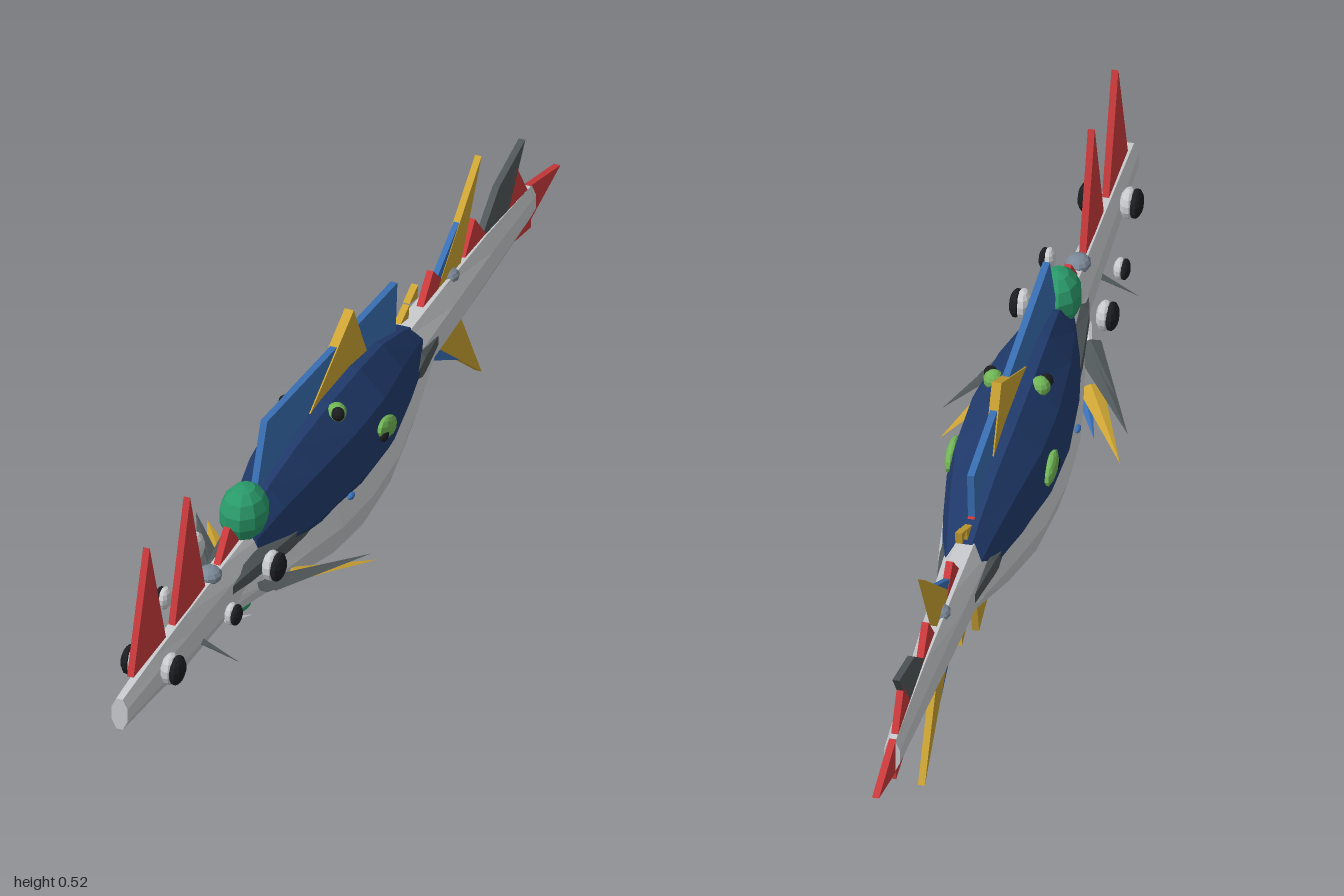
import * as THREE from 'three';

const mat = (name, color) => Object.assign(new THREE.MeshStandardMaterial({ color, flatShading: true }), { name });
const M = {
  pale: mat('pale grey', 0xc9cbce),
  navy: mat('navy', 0x203a6b),
  blue: mat('fin blue', 0x3a70b5),
  gold: mat('gold', 0xcda434),
  red: mat('red', 0xcc3a3c),
  dark: mat('dark grey', 0x505759),
  teal: mat('sea green', 0x2a9a6a),
  green: mat('leaf green', 0x70b455),
  black: mat('black', 0x1c1d20),
  slate: mat('slate', 0x7b8896),
};

// Hull through rings [z, centreY, radiusX, radiusY], listed front to back
function loft(rings, n, floor = -1) {
  const pos = [], idx = [];
  for (const [z, cy, rx, ry] of rings) {
    for (let i = 0; i < n; i++) {
      const a = ((i + 0.5) / n) * Math.PI * 2;
      pos.push(Math.sin(a) * rx, Math.max(floor, cy - Math.cos(a) * ry), z);
    }
  }
  const last = (rings.length - 1) * n;
  for (let k = 0; k < last; k += n) {
    for (let i = 0; i < n; i++) {
      const j = (i + 1) % n;
      idx.push(k + i, k + n + i, k + j, k + j, k + n + i, k + n + j);
    }
  }
  for (let i = 1; i < n - 1; i++) idx.push(0, i, i + 1, last, last + i + 1, last + i);
  const g = new THREE.BufferGeometry();
  g.setAttribute('position', new THREE.Float32BufferAttribute(pos, 3));
  g.setIndex(idx);
  g.computeVertexNormals();
  return g;
}

export function createModel() {
  const model = new THREE.Group();
  const add = (name, geometry, material) => {
    const m = new THREE.Mesh(geometry, material);
    m.name = name;
    model.add(m);
    return m;
  };

  // Upright plate on the centre line, outlined by [z, y] points
  const fin = (name, points, material, t = 0.013) => {
    const shape = new THREE.Shape(points.map(([z, y]) => new THREE.Vector2(z, y)));
    const g = new THREE.ExtrudeGeometry(shape, { depth: t, bevelEnabled: false });
    add(name, g.rotateY(-Math.PI / 2).translate(t / 2, 0, 0), material);
  };

  // Ellipsoid
  const blob = (name, [x, y, z], [rx, ry, rz], material, tilt = 0) => {
    const m = add(name, new THREE.SphereGeometry(1, 10, 7), material);
    m.scale.set(rx, ry, rz);
    m.position.set(x, y, z);
    m.rotation.x = tilt;
  };

  // Flattened four-sided spike from base to tip
  const spike = (name, base, tip, width, thick, material) => {
    const b = new THREE.Vector3(...base), t = new THREE.Vector3(...tip);
    const dir = t.clone().sub(b), len = dir.length();
    dir.normalize();
    const side = new THREE.Vector3(0, 1, 0).cross(dir).normalize();
    const up = side.clone().cross(dir);
    const g = new THREE.ConeGeometry(1, len, 4).scale(width, 1, thick);
    g.applyMatrix4(new THREE.Matrix4().makeBasis(side, dir, up));
    const mid = b.add(t).multiplyScalar(0.5);
    add(name, g.translate(mid.x, mid.y, mid.z), material);
  };

  // Hulls
  add('spine', loft([
    [1, 0.232, 0.017, 0.035], [0.86, 0.232, 0.022, 0.047], [0.72, 0.226, 0.025, 0.06],
    [0.55, 0.23, 0.032, 0.066], [0.3, 0.235, 0.045, 0.07], [-0.25, 0.235, 0.045, 0.07],
    [-0.45, 0.235, 0.036, 0.066], [-0.65, 0.235, 0.026, 0.056], [-0.87, 0.233, 0.016, 0.036],
  ], 8), M.pale);
  add('belly', loft([
    [0.56, 0.2, 0.025, 0.03], [0.45, 0.195, 0.048, 0.045], [0.3, 0.19, 0.078, 0.078],
    [0.2, 0.185, 0.096, 0.1], [0.08, 0.182, 0.103, 0.109], [-0.06, 0.185, 0.095, 0.102],
    [-0.2, 0.2, 0.072, 0.08], [-0.32, 0.21, 0.046, 0.042], [-0.43, 0.215, 0.02, 0.012],
  ], 10), M.pale);
  add('back', loft([
    [0.44, 0.24, 0.035, 0.07], [0.36, 0.24, 0.06, 0.115], [0.25, 0.24, 0.083, 0.138],
    [0.1, 0.24, 0.1, 0.147], [-0.03, 0.24, 0.098, 0.141], [-0.15, 0.24, 0.076, 0.12],
    [-0.26, 0.24, 0.052, 0.08], [-0.36, 0.23, 0.03, 0.045],
  ], 10, 0.203), M.navy);
  add('sideKeel', loft([
    [0.62, 0.235, 0.012, 0.008], [0.5, 0.242, 0.046, 0.032], [0.37, 0.237, 0.066, 0.036],
    [0.25, 0.232, 0.078, 0.03], [-0.2, 0.232, 0.062, 0.03], [-0.28, 0.24, 0.056, 0.04],
    [-0.36, 0.235, 0.042, 0.028], [-0.44, 0.228, 0.026, 0.012],
  ], 8), M.dark);

  // Head dome and chin
  blob('headDome', [0, 0.332, 0.43], [0.045, 0.056, 0.056], M.teal);
  blob('chin', [0, 0.165, 0.47], [0.03, 0.022, 0.04], M.teal);

  // Back fins
  fin('sailFin', [[0.4, 0.32], [0.34, 0.473], [-0.255, 0.42], [-0.245, 0.29]], M.blue);
  fin('crestFin', [[0.19, 0.355], [-0.05, 0.483], [-0.11, 0.36]], M.gold, 0.018);
  fin('bellyFin', [[-0.05, 0.105], [-0.215, 0.042], [-0.245, 0.16]], M.gold);

  // Snout fins and the red triangles along the spine: [centre z, half base, base y, tip y]
  for (const [z, w, y0, y1] of [
    [0.877, 0.074, 0.283, 0.518], [0.692, 0.07, 0.283, 0.518], [0.51, 0.055, 0.28, 0.345],
    [-0.23, 0.05, 0.28, 0.347], [-0.42, 0.06, 0.285, 0.347], [-0.61, 0.055, 0.28, 0.347],
    [-0.8, 0.055, 0.26, 0.347],
  ]) fin('redSpineFin', [[z + w, y0], [z, y1], [z - w, y0]], M.red);
  fin('tailTip', [[-0.865, 0.268], [-0.865, 0.195], [-1, 0.232]], M.red);
  fin('tailKeel', [[-0.77, 0.195], [-0.865, 0.178], [-0.865, 0.21]], M.red);

  // Tail fins, above and below
  fin('tailDarkFin', [[-0.63, 0.28], [-0.72, 0.35], [-0.84, 0.382], [-0.76, 0.27]], M.dark);
  for (const s of [1, -1]) {
    const y = v => 0.2325 + s * v;
    fin('tailGoldFin', [[-0.43, y(0.055)], [-0.64, y(0.2325)], [-0.54, y(0.05)]], M.gold);
    fin('tailBlueFin', [[-0.38, y(0.055)], [-0.54, y(0.148)], [-0.5, y(0.05)]], M.blue, 0.011);
    for (const [z, h] of [[-0.29, 0.095], [-0.33, 0.115]]) {
      fin('goldFleck', [[z + 0.02, y(h - 0.006)], [z - 0.02, y(h + 0.012)], [z - 0.016, y(h - 0.014)]], M.gold);
    }
  }

  // Slate knobs
  blob('knob', [0, 0.29, 0.59], [0.024, 0.016, 0.026], M.slate);
  blob('knob', [0, 0.29, -0.5], [0.022, 0.014, 0.024], M.slate);

  for (const s of [1, -1]) {
    // Snout eyes: pale ball with a black outer cap
    for (const [x, y, z, r] of [[0.034, 0.247, 0.845, 0.031], [0.066, 0.252, 0.64, 0.022], [0.076, 0.264, 0.48, 0.03]]) {
      blob('snoutEye', [s * x, y, z], [r * 0.55, r, r * 0.9], M.pale);
      blob('snoutPupil', [s * (x + r * 0.42), y, z], [r * 0.45, r * 0.92, r * 0.92], M.black);
    }
    // Green back eyes and side patches
    blob('backEye', [s * 0.044, 0.367, 0.11], [0.019, 0.019, 0.02], M.green);
    blob('backPupil', [s * 0.052, 0.372, 0.122], [0.013, 0.014, 0.012], M.black);
    blob('sideEye', [s * 0.092, 0.277, -0.01], [0.012, 0.022, 0.04], M.green, -0.35);
    blob('sidePupil', [s * 0.096, 0.272, 0.012], [0.008, 0.012, 0.014], M.black);
    blob('sideStud', [s * 0.099, 0.236, 0.17], [0.006, 0.006, 0.012], M.blue);
    // Side fins
    spike('pectoralFin', [s * 0.055, 0.2, 0.45], [s * 0.173, 0.178, 0.25], 0.026, 0.008, M.dark);
    spike('pectoralFin', [s * 0.05, 0.205, 0.47], [s * 0.13, 0.192, 0.34], 0.022, 0.008, M.dark);
    spike('goldSideFin', [s * 0.075, 0.182, 0.37], [s * 0.168, 0.14, 0.21], 0.024, 0.008, M.gold);
    spike('blueSideFin', [s * 0.07, 0.17, 0.35], [s * 0.108, 0.148, 0.26], 0.014, 0.006, M.blue);
    spike('whisker', [s * 0.015, 0.205, 0.675], [s * 0.095, 0.172, 0.67], 0.009, 0.008, M.dark);
    spike('jawSpike', [s * 0.02, 0.18, 0.56], [s * 0.048, 0.163, 0.5], 0.012, 0.006, M.pale);
  }
  return model;
}
